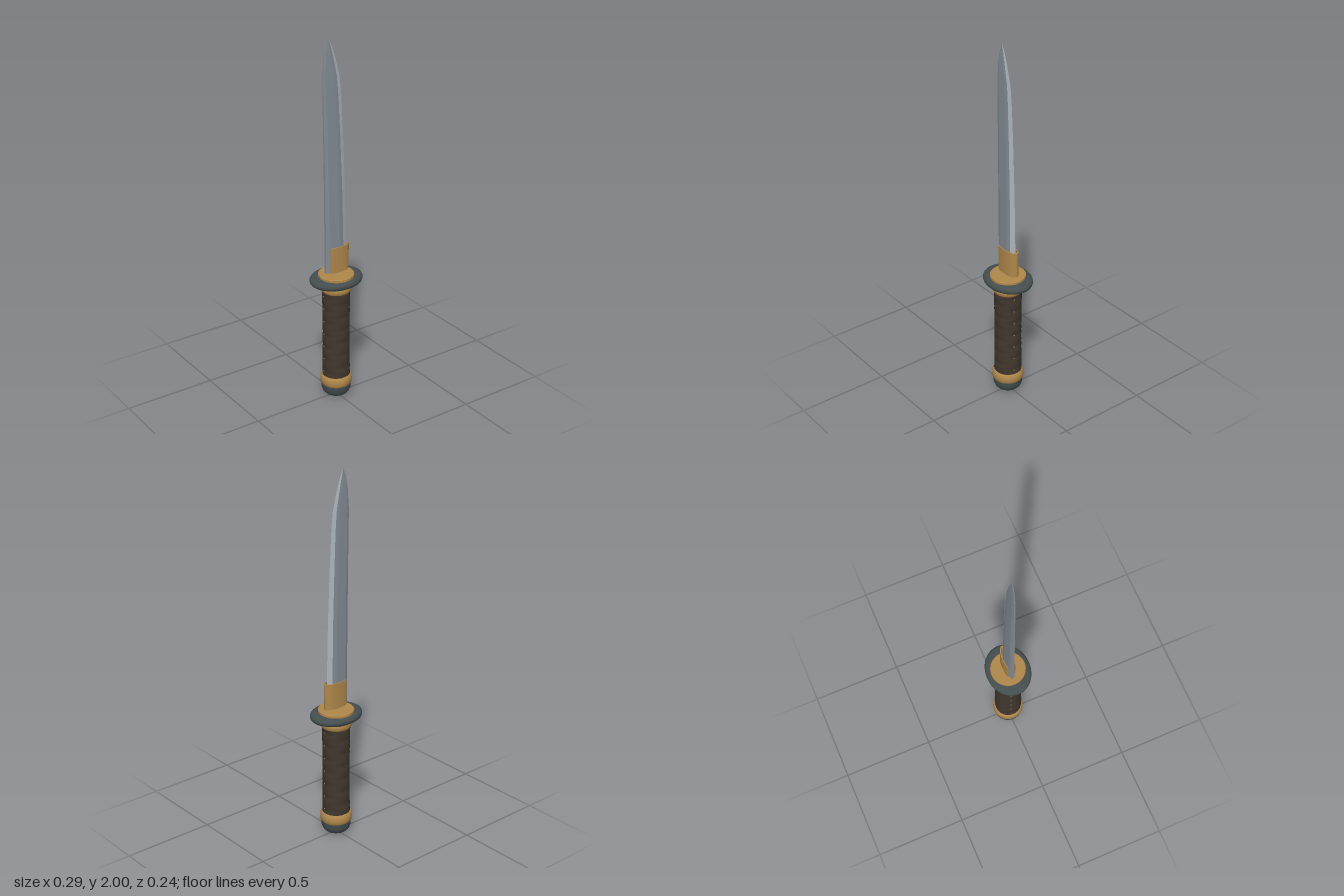
import * as THREE from 'three';
import { toCreasedNormals } from 'three/addons/utils/BufferGeometryUtils.js';

const material = (name, color) => {
  const m = new THREE.MeshStandardMaterial({ color });
  m.name = name;
  return m;
};

export function createModel() {
  const steel = material('steel', 0x838b93);
  const edgeSteel = material('polished edge', 0xaeb6bc);
  const brass = material('brass', 0xb0884a);
  const iron = material('dark iron', 0x454e50);
  const wrap = material('handle wrap', 0x40372d);
  const stud = material('stud', 0x77706a);

  const model = new THREE.Group();
  model.name = 'dagger';
  const add = (name, geometry, mat) => {
    const mesh = new THREE.Mesh(geometry, mat);
    mesh.name = name;
    model.add(mesh);
    return mesh;
  };
  // Turned part from [radius, height] pairs, listed bottom to top
  const turned = (name, profile, mat, sides = 48) => add(name, toCreasedNormals(
    new THREE.LatheGeometry(profile.map(([r, y]) => new THREE.Vector2(r, y)), sides), 0.65), mat);

  // Pommel with a ring set in its underside
  turned('pommel', [[0, 0.016], [0.045, 0.008], [0.06, 0.014], [0.071, 0.026], [0.078, 0.045],
    [0.08, 0.076], [0, 0.076]], iron);
  turned('pommelRing', [[0.018, 0.018], [0.021, 0.004], [0.027, 0], [0.036, 0], [0.042, 0.005],
    [0.043, 0.016]], brass, 32);
  turned('pommelBand', [[0, 0.072], [0.079, 0.072], [0.084, 0.08], [0.085, 0.1], [0.083, 0.12],
    [0.077, 0.129], [0, 0.129]], brass);

  // Grip: crossing spiral bands raise the surface slightly
  const grip = new THREE.CylinderGeometry(0.07, 0.07, 0.51, 48, 72, true);
  const pos = grip.attributes.position;
  for (let i = 0; i < pos.count; i++) {
    const x = pos.getX(i), y = pos.getY(i), z = pos.getZ(i);
    const a = Math.atan2(z, x), t = y / 0.075 * Math.PI;
    const band = Math.max(Math.abs(Math.sin(t + a)), Math.abs(Math.sin(t - a)));
    const r = 0.068 + 0.004 * band + 0.003 * Math.pow(y / 0.255, 2);
    pos.setXYZ(i, Math.cos(a) * r, y, Math.sin(a) * r);
  }
  grip.computeVertexNormals();
  add('grip', grip, wrap).position.y = 0.378;

  // Small studs down both narrow sides of the grip
  for (const side of [-1, 1]) {
    for (let i = 0; i < 7; i++) {
      add('gripStud', new THREE.SphereGeometry(0.004, 8, 6), stud)
        .position.set(side * 0.07, 0.153 + i * 0.075, 0.012 * side);
    }
  }

  // Collar, washers and oval guard
  turned('gripCollar', [[0, 0.628], [0.076, 0.628], [0.082, 0.637], [0.083, 0.655], [0.079, 0.663],
    [0, 0.663]], brass);
  turned('lowerWasher', [[0, 0.66], [0.083, 0.66], [0.093, 0.668], [0.095, 0.68], [0, 0.68]], brass);
  const guard = [[0, 0.679], [0.128, 0.679]];
  for (let i = 0; i <= 12; i++) {
    const a = -Math.PI / 2 + i / 12 * Math.PI;
    guard.push([0.128 + 0.019 * Math.cos(a), 0.696 + 0.019 * Math.sin(a)]);
  }
  guard.push([0.128, 0.713], [0, 0.713]);
  turned('guard', guard, iron, 64).scale.z = 0.82;
  turned('upperWasher', [[0, 0.712], [0.095, 0.712], [0.095, 0.725], [0.092, 0.728], [0, 0.728]], brass);

  // Blade collar: a thin shell open at the spine
  const shell = new THREE.Shape();
  shell.moveTo(-0.05, -0.023);
  shell.bezierCurveTo(-0.01, -0.034, 0.075, -0.034, 0.077, 0);
  shell.bezierCurveTo(0.075, 0.034, -0.01, 0.034, -0.05, 0.023);
  shell.lineTo(-0.05, 0.019);
  shell.bezierCurveTo(-0.01, 0.029, 0.068, 0.029, 0.07, 0);
  shell.bezierCurveTo(0.068, -0.029, -0.01, -0.029, -0.05, -0.019);
  const collar = new THREE.ExtrudeGeometry(shell, { depth: 0.143, bevelEnabled: false, curveSegments: 20 });
  collar.rotateX(-Math.PI / 2);
  add('bladeCollar', toCreasedNormals(collar, 0.6), brass).position.y = 0.742;
  const pin = add('collarPin', new THREE.CylinderGeometry(0.01, 0.01, 0.008, 16), brass);
  pin.rotation.x = Math.PI / 2;
  pin.position.set(0.03, 0.757, 0.026);
  add('tang', new THREE.BoxGeometry(0.03, 0.03, 0.016), steel).position.y = 0.735;

  // Blade stations: height, spine x, edge x, half thickness
  const stations = [
    [0.743, -0.068, 0.065, 0.019], [0.9, -0.068, 0.062, 0.018], [1.2, -0.071, 0.055, 0.0155],
    [1.5, -0.075, 0.042, 0.012], [1.7, -0.079, 0.031, 0.0095], [1.8, -0.08, 0.021, 0.008],
    [1.9, -0.073, -0.006, 0.006], [1.96, -0.062, -0.026, 0.0035], [2.0, -0.047, -0.045, 0.0004],
  ];
  // Cross-section: fraction of width from spine, fraction of thickness
  const half = [[0, 0.4], [0.13, 0.85], [0.62, 1], [0.8, 0.75], [1, 0]];
  const section = [...half, ...half.slice(0, 4).reverse().map(([u, v]) => [u, -v])];
  const rings = stations.map(([y, spine, edge, thick]) => section.map(
    ([u, v]) => [spine + (edge - spine) * u, y, v * thick]));
  const count = section.length;
  const body = [], bevel = [];
  for (let s = 0; s < rings.length - 1; s++) {
    for (let i = 0; i < count; i++) {
      const j = (i + 1) % count;
      const [a, b, c, d] = [rings[s][i], rings[s][j], rings[s + 1][j], rings[s + 1][i]];
      (i === 3 || i === 4 ? bevel : body).push(...a, ...b, ...c, ...a, ...c, ...d);
    }
  }
  // Close the base and the tip
  for (let i = 1; i < count - 1; i++) {
    const top = rings[rings.length - 1];
    body.push(...rings[0][0], ...rings[0][i + 1], ...rings[0][i], ...top[0], ...top[i], ...top[i + 1]);
  }
  for (const [name, points, mat] of [['blade', body, steel], ['cuttingEdge', bevel, edgeSteel]]) {
    const g = new THREE.BufferGeometry();
    g.setAttribute('position', new THREE.Float32BufferAttribute(points, 3));
    g.computeVertexNormals();
    add(name, toCreasedNormals(g, 0.12), mat);
  }

  return model;
}
